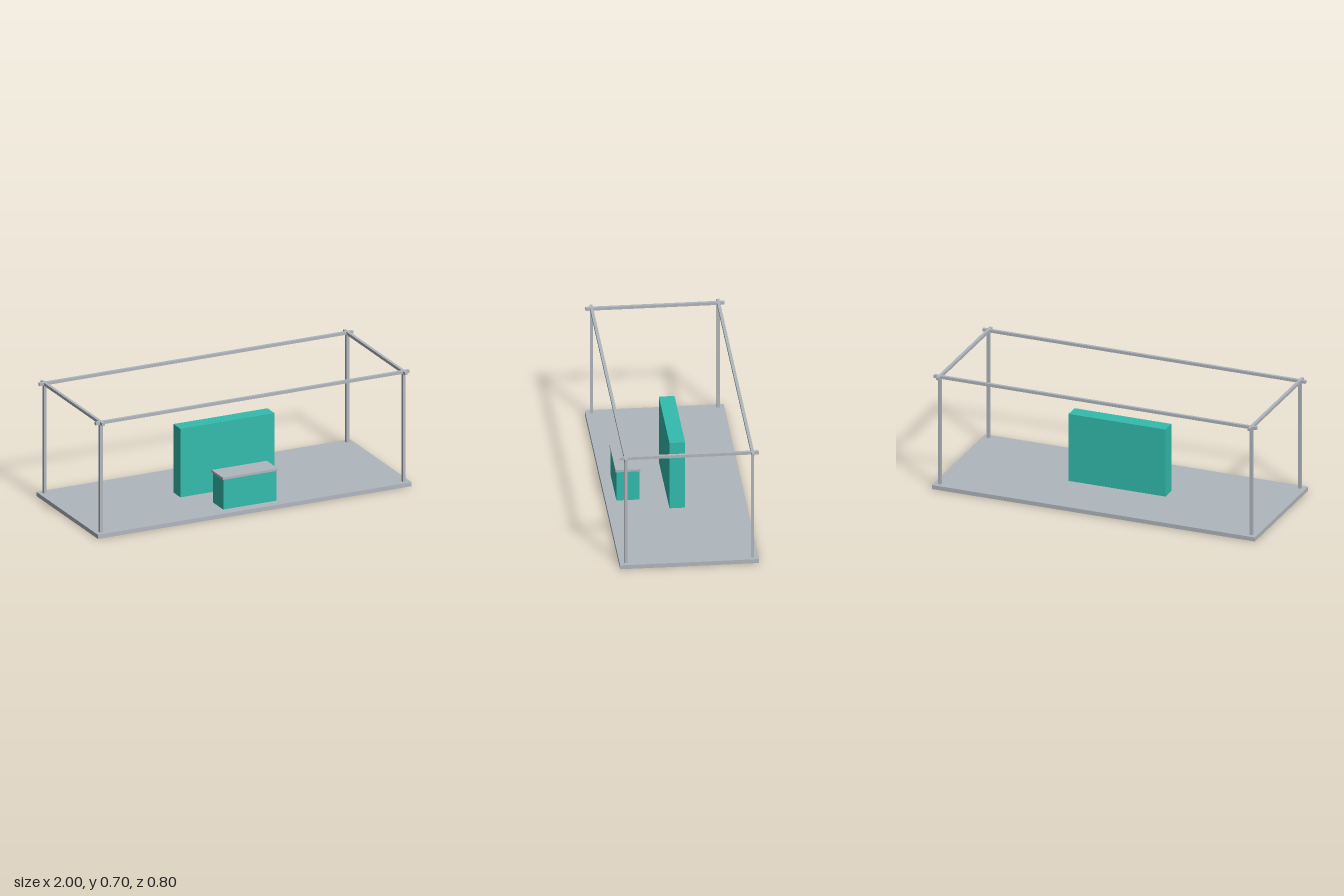
import * as THREE from 'three';

export function createModel() {
  const group = new THREE.Group();
  const grey = new THREE.MeshStandardMaterial({ color: 0xb0b7bd });
  grey.name = 'light grey';
  const teal = new THREE.MeshStandardMaterial({ color: 0x33bcad });
  teal.name = 'teal';

  // Box standing on y0, reaching up to y1
  function box(name, material, width, depth, y0, y1, x = 0, z = 0) {
    const mesh = new THREE.Mesh(new THREE.BoxGeometry(width, y1 - y0, depth), material);
    mesh.name = name;
    mesh.position.set(x, (y0 + y1) / 2, z);
    group.add(mesh);
  }

  const floorTop = 0.025, top = 0.7, bar = 0.0175;
  const postX = 0.965, postZ = 0.365;

  box('floorPlatform', grey, 2, 0.8, 0, floorTop);

  // Display wall in the middle of the floor
  box('displayWall', teal, 0.6, 0.09, floorTop, 0.442);

  // Reception counter with overhanging top
  box('counterBody', teal, 0.34, 0.132, floorTop, 0.208, 0, 0.271);
  box('counterTop', grey, 0.352, 0.144, 0.208, 0.222, 0, 0.271);

  // Frame: corner posts and crossing top rails
  for (const s of [-1, 1]) {
    for (const t of [-1, 1]) {
      box('cornerPost', grey, bar, bar, floorTop, top, s * postX, t * postZ);
    }
    box('longRail', grey, 2, bar, top - bar, top, 0, s * postZ);
    box('sideRail', grey, bar, 0.8, top - bar, top, s * postX, 0);
  }
  return group;
}
